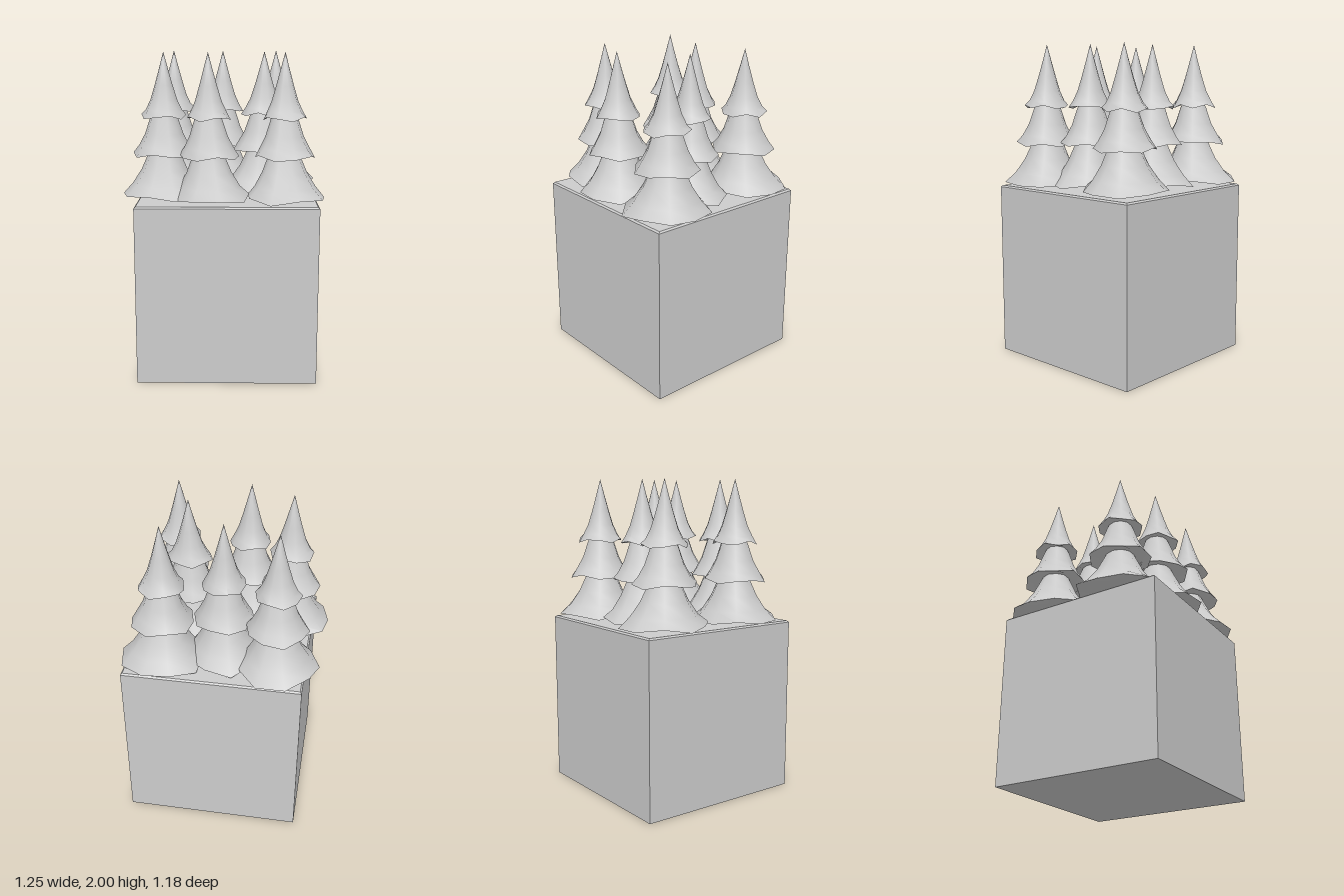
import * as THREE from 'three';
import { toCreasedNormals } from 'three/addons/utils/BufferGeometryUtils.js';

const SIDES = 10;
const material = new THREE.MeshStandardMaterial({ color: 0xcccccc });

// Trees: tip position and skirt radius (in hundredths) every 36 degrees from +x towards +z
const TREES = [
  { x: -0.34, z: -0.31, skirt: [24, 24, 27, 28, 25, 27, 27, 29, 29, 25] },
  { x: -0.01, z: -0.24, skirt: [24, 24, 25, 28, 26, 24, 24, 28, 26, 24] },
  { x: 0.345, z: -0.325, skirt: [27, 25, 25, 25, 25, 24, 28, 27, 28, 29] },
  { x: 0.255, z: 0.04, skirt: [27, 26, 21, 22, 27, 28, 25, 21, 20, 24] },
  { x: -0.365, z: 0.21, skirt: [25, 25, 28, 27, 27, 26, 29, 25, 26, 26] },
  { x: -0.09, z: 0.32, skirt: [25, 27, 28, 26, 23, 22, 24, 26, 26, 25] },
  { x: 0.37, z: 0.31, skirt: [25, 28, 28, 29, 26, 22, 23, 23, 24, 27] },
];

// Tiers from the underside centre, round the rim and up to the top: [radius, height]
const TIERS = [
  { name: 'lowerBranches', profile: [[0, 1.15], [0.15, 1.15], [0.26, 1.135], [0.2, 1.195], [0.145, 1.28], [0.105, 1.37], [0.07, 1.45]] },
  { name: 'middleBranches', profile: [[0, 1.41], [0.11, 1.41], [0.193, 1.38], [0.158, 1.43], [0.12, 1.5], [0.086, 1.6], [0.05, 1.68]] },
  { name: 'topBranches', profile: [[0, 1.63], [0.08, 1.63], [0.14, 1.61], [0.112, 1.65], [0.083, 1.71], [0.055, 1.8], [0.027, 1.9], [0, 2]] },
];

// Lathe whose rings follow the uneven skirt; the rim (point 2) also waves up and down
function branchTier(profile, skirt, tier, tree) {
  const geo = new THREE.LatheGeometry(
    profile.map(([r, y]) => new THREE.Vector2(r, y)), SIDES, Math.PI / 2);
  const pos = geo.attributes.position;
  const n = profile.length;
  for (let i = 0; i <= SIDES; i++) {
    const k = (SIDES - i) % SIDES;
    const wobble = skirt[k] / 26;
    for (let j = 0; j < n; j++) {
      const id = i * n + j;
      const amount = (j < 3 ? 1 : Math.max(0, 1 - (j - 2) * 0.2)) * (tier ? 0.6 : 1);
      const s = 1 + (wobble - 1) * amount;
      const wave = j === 2 ? 0.014 * Math.sin(k * 2.3 + tree * 1.7 + tier) : 0;
      pos.setXYZ(id, pos.getX(id) * s, pos.getY(id) + wave, pos.getZ(id) * s);
    }
  }
  return toCreasedNormals(geo, 0.9);
}

export function createModel() {
  const model = new THREE.Group();
  model.name = 'treesOnBlock';

  // Block with a slightly bevelled top edge
  const half = 0.55 * Math.SQRT2;
  const blockProfile = [[0, 0], [half, 0], [half, 1.095], [half - 0.014, 1.105], [0, 1.105]]
    .map(([r, y]) => new THREE.Vector2(r, y));
  const block = new THREE.Mesh(
    toCreasedNormals(new THREE.LatheGeometry(blockProfile, 4, Math.PI / 4), 0.5), material);
  block.name = 'block';
  block.position.set(0.025, 0, -0.005);
  model.add(block);

  // Grove of three-tier conifers
  TREES.forEach(({ x, z, skirt }, t) => {
    const tree = new THREE.Group();
    tree.name = `tree${t + 1}`;
    tree.position.set(x, 0, z);
    TIERS.forEach(({ name, profile }, i) => {
      const mesh = new THREE.Mesh(branchTier(profile, skirt, i, t), material);
      mesh.name = name;
      tree.add(mesh);
    });
    model.add(tree);
  });
  return model;
}
